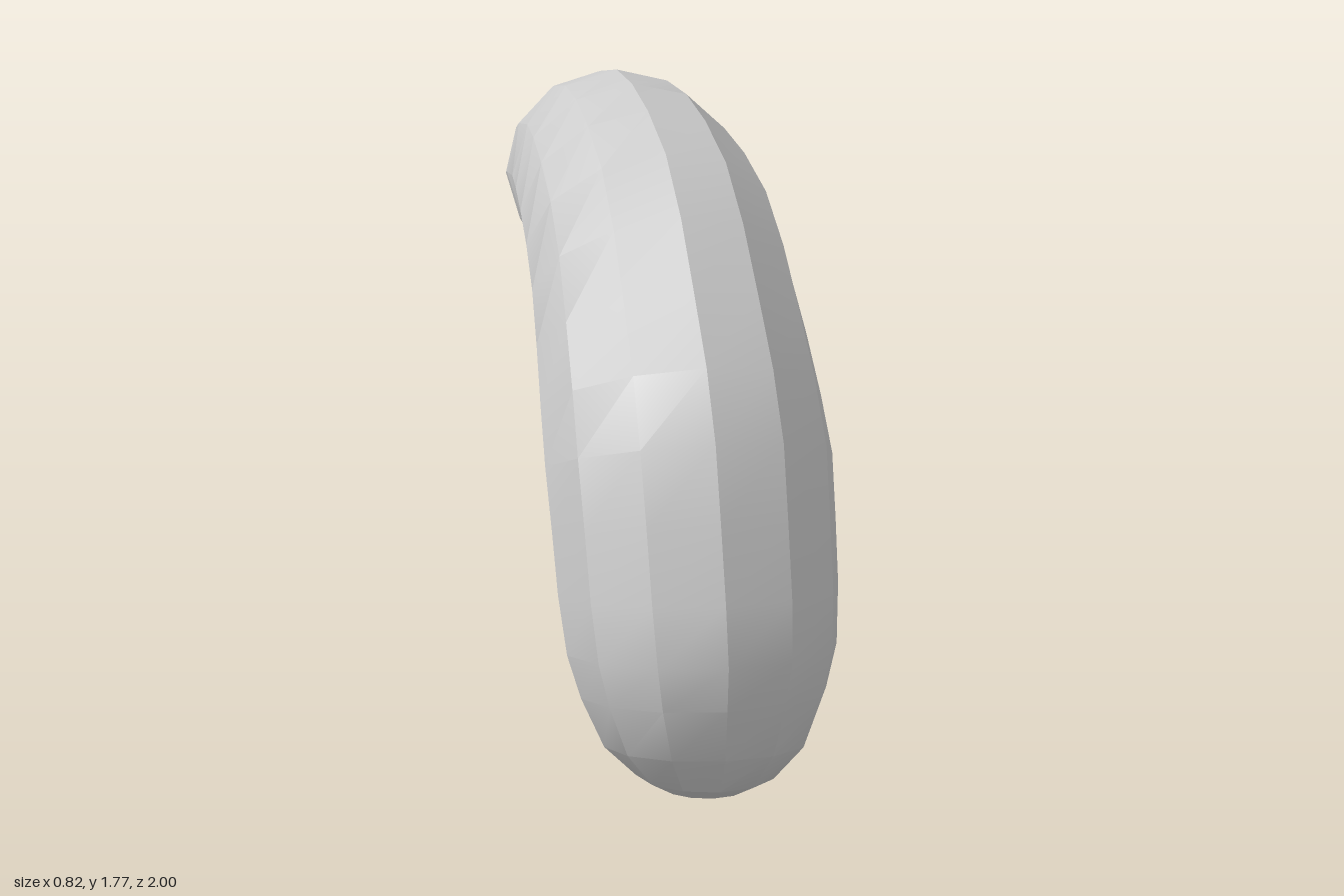
import * as THREE from 'three';
import { toCreasedNormals } from 'three/addons/utils/BufferGeometryUtils.js';

const SIDES = 12;

// Cross-sections from base to tip: outer z, outer y, inner z, inner y, half width
const SECTIONS = [
  [0.78, 0.0, 0.54, 0.01, 0.12],
  [0.87, 0.04, 0.46, 0.06, 0.2],
  [0.95, 0.15, 0.38, 0.12, 0.29],
  [0.98, 0.3, 0.29, 0.24, 0.35],
  [1.0, 0.43, 0.22, 0.35, 0.385],
  [0.96, 0.6, 0.15, 0.5, 0.4],
  [0.89, 0.81, 0.1, 0.62, 0.405],
  [0.81, 1.03, 0.03, 0.75, 0.41],
  [0.68, 1.22, -0.07, 0.84, 0.4],
  [0.5, 1.39, -0.16, 0.96, 0.385],
  [0.31, 1.56, -0.25, 1.04, 0.37],
  [0.09, 1.69, -0.35, 1.09, 0.355],
  [-0.17, 1.75, -0.46, 1.13, 0.335],
  [-0.4, 1.77, -0.57, 1.155, 0.315],
  [-0.62, 1.755, -0.7, 1.15, 0.29],
  [-0.86, 1.69, -0.82, 1.145, 0.27],
  [-1.0, 1.63, -0.91, 1.14, 0.25],
];

// Twelve-sided elliptical ring through the outer and inner points
function ringPoints([oz, oy, iz, iy, width]) {
  return Array.from({ length: SIDES }, (_, j) => {
    const a = (j / SIDES) * Math.PI * 2;
    const c = Math.cos(a) / 2;
    return [Math.sin(a) * width, (oy + iy) / 2 + (oy - iy) * c, (oz + iz) / 2 + (oz - iz) * c];
  });
}

function makeGeometry(positions, index) {
  const geometry = new THREE.BufferGeometry();
  geometry.setAttribute('position', new THREE.Float32BufferAttribute(positions.flat(), 3));
  geometry.setIndex(index);
  geometry.computeVertexNormals();
  return geometry;
}

// Curved skin between successive rings
function skinGeometry(rings) {
  const index = [];
  for (let i = 0; i < rings.length - 1; i++) {
    for (let j = 0; j < SIDES; j++) {
      const a = i * SIDES + j;
      const b = i * SIDES + ((j + 1) % SIDES);
      index.push(a, b, b + SIDES, a, b + SIDES, a + SIDES);
    }
  }
  return toCreasedNormals(makeGeometry(rings.flat(), index), 0.5);
}

// Flat polygon closing one end
function capGeometry(ring, flip) {
  const index = [];
  for (let j = 1; j < SIDES - 1; j++) index.push(0, flip ? j + 1 : j, flip ? j : j + 1);
  return makeGeometry(ring, index);
}

export function createModel() {
  const model = new THREE.Group();
  model.name = 'curvedTube';
  const grey = new THREE.MeshStandardMaterial({ color: 0xcccccc });
  grey.name = 'light grey';

  const rings = SECTIONS.map(ringPoints);
  const add = (name, geometry) => {
    const mesh = new THREE.Mesh(geometry, grey);
    mesh.name = name;
    model.add(mesh);
  };
  add('curvedBody', skinGeometry(rings));
  add('baseCap', capGeometry(rings[0], true));
  add('tipCap', capGeometry(rings[rings.length - 1], false));
  return model;
}
